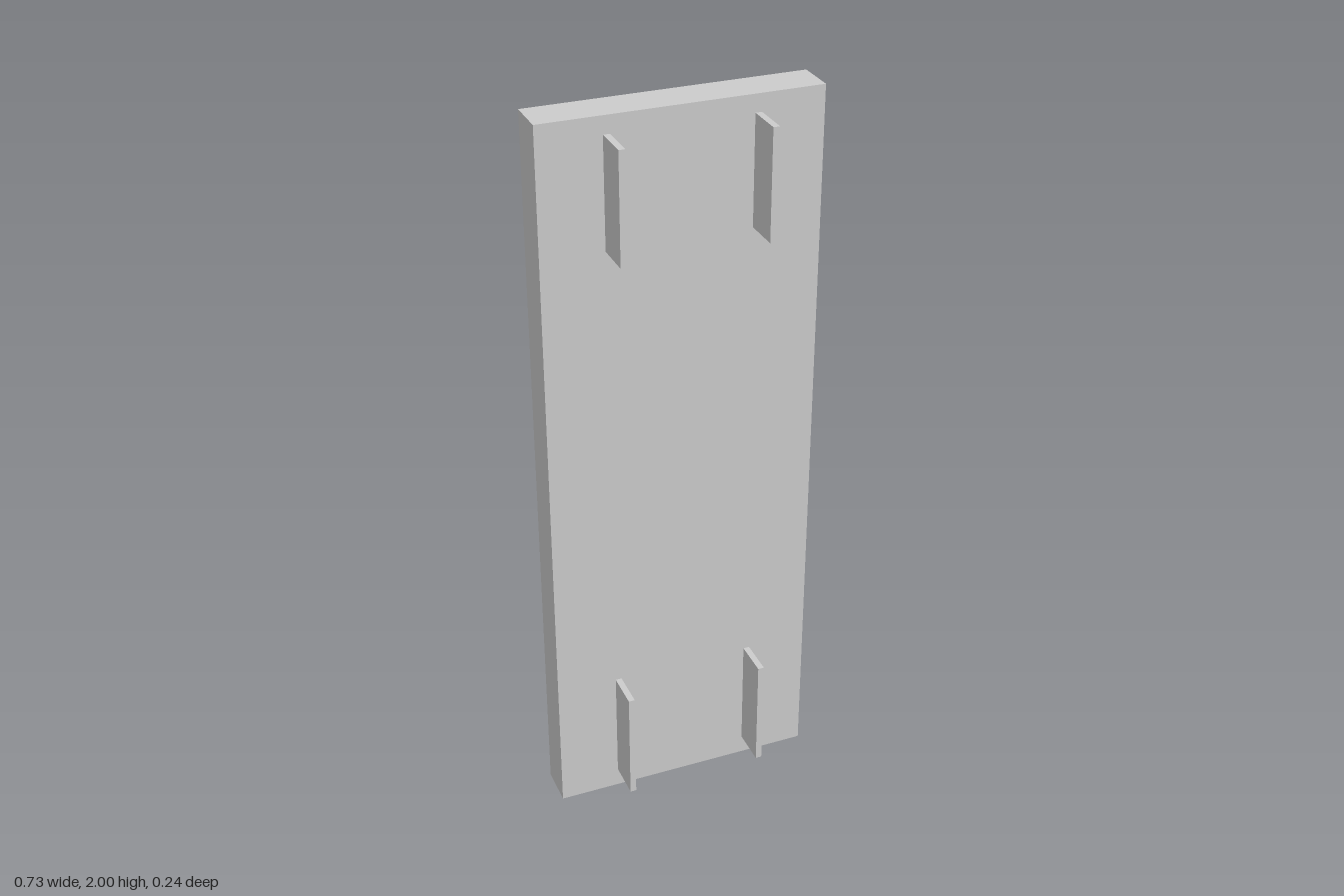
import * as THREE from 'three';

const material = new THREE.MeshStandardMaterial({ color: 0xcccccc, flatShading: true });

// Solid made of successive rectangles [half width, bottom, top, z], from front to back
function rectLoft(rings) {
  const loops = rings.map(([w, lo, hi, z]) => [[-w, lo, z], [w, lo, z], [w, hi, z], [-w, hi, z]]);
  const pos = [];
  const tri = (...corners) => corners.forEach((c) => pos.push(...c));
  for (let i = 0; i < loops.length - 1; i++) {
    for (let k = 0; k < 4; k++) {
      const n = (k + 1) % 4;
      const a = loops[i], b = loops[i + 1];
      tri(a[k], b[k], a[n]);
      tri(a[n], b[k], b[n]);
    }
  }
  const f = loops[0], r = loops[loops.length - 1];
  tri(f[0], f[1], f[2]);
  tri(f[0], f[2], f[3]);
  tri(r[0], r[2], r[1]);
  tri(r[0], r[3], r[2]);
  const geometry = new THREE.BufferGeometry();
  geometry.setAttribute('position', new THREE.Float32BufferAttribute(pos, 3));
  geometry.computeVertexNormals();
  return geometry;
}

export function createModel() {
  const group = new THREE.Group();
  const add = (name, geometry, x = 0, y = 0, z = 0) => {
    const mesh = new THREE.Mesh(geometry, material);
    mesh.name = name;
    mesh.position.set(x, y, z);
    group.add(mesh);
  };

  // Slab with a bevelled rim and a shallow recess in the back
  add('panelBody', rectLoft([
    [0.366, 0, 2, 0.013],
    [0.366, 0, 2, -0.097],
    [0.333, 0.027, 1.973, -0.116],
    [0.313, 0.038, 1.962, -0.116],
    [0.313, 0.038, 1.962, -0.094],
  ]));

  // Thin ledges dividing the recess into three fields
  for (const y of [0.68, 1.33]) {
    add('dividerLedge', new THREE.BoxGeometry(0.626, 0.008, 0.016), 0, y, -0.1);
  }

  // Mounting fins on the front
  for (const x of [-0.191, 0.192]) {
    for (const [lo, hi] of [[0.055, 0.375], [1.66, 1.953]]) {
      add('mountingFin', new THREE.BoxGeometry(0.017, hi - lo, 0.105), x, (lo + hi) / 2, 0.063);
    }
  }

  // The whole panel is turned very slightly
  group.rotation.y = 0.0137;
  const model = new THREE.Group();
  model.name = 'panel';
  model.add(group);
  return model;
}
